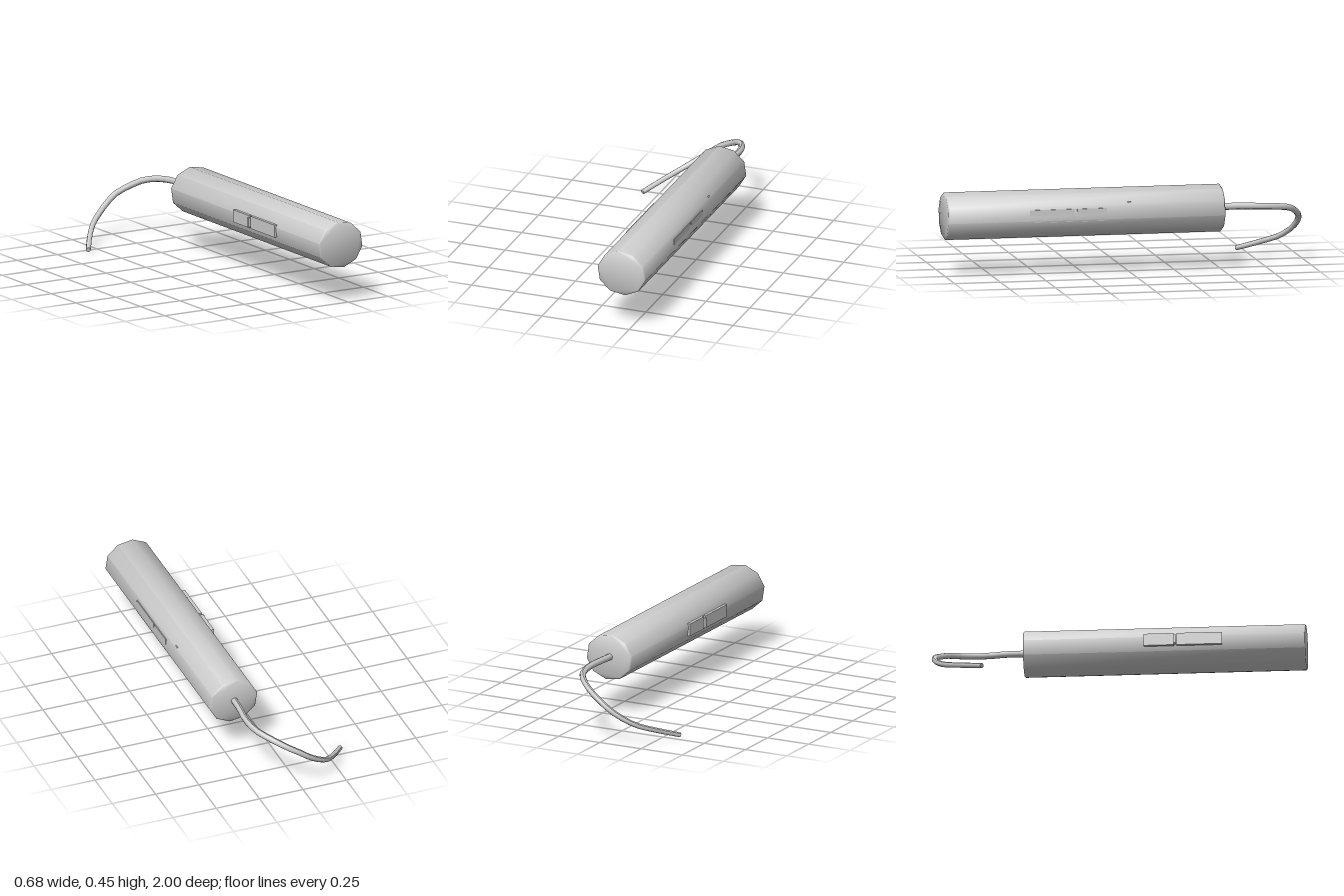
import * as THREE from 'three';
import { toCreasedNormals } from 'three/addons/utils/BufferGeometryUtils.js';

const material = new THREE.MeshStandardMaterial({ color: 0xcccccc });

function addMesh(parent, name, geometry) {
  const mesh = new THREE.Mesh(geometry, material);
  mesh.name = name;
  parent.add(mesh);
  return mesh;
}

// Box given by its minimum and maximum corners
function addBox(parent, name, min, max) {
  const size = max.map((v, i) => v - min[i]);
  const mesh = addMesh(parent, name, new THREE.BoxGeometry(...size));
  mesh.position.set(...max.map((v, i) => (v + min[i]) / 2));
}

// Ten-sided barrel with finely bevelled ends
function barrel() {
  const section = [
    [0.187, 0.449], [0.108, 0.414], [0.068, 0.345], [0.08, 0.265], [0.14, 0.211],
    [0.225, 0.197], [0.302, 0.232], [0.342, 0.3], [0.33, 0.38], [0.27, 0.435],
  ].map(([x, y]) => new THREE.Vector2(x, y));
  const bevel = 0.006;
  const geometry = new THREE.ExtrudeGeometry(new THREE.Shape(section), {
    depth: 1.514 - 2 * bevel, steps: 1,
    bevelEnabled: true, bevelThickness: bevel, bevelSize: bevel,
    bevelOffset: -bevel, bevelSegments: 1,
  });
  geometry.translate(0, 0, -0.514 + bevel);
  return toCreasedNormals(geometry, 0.9);
}

// Curved tail, tapering towards its free end
const TAIL_STEPS = 22, TAIL_SIDES = 8;
function tail() {
  const curve = new THREE.CatmullRomCurve3([
    [0.2, 0.325, -0.48], [0.205, 0.328, -0.6], [0.214, 0.325, -0.72],
    [0.194, 0.317, -0.83], [0.142, 0.3, -0.91], [0.075, 0.264, -0.957],
    [0.01, 0.228, -0.98], [-0.06, 0.175, -0.973], [-0.165, 0.105, -0.918],
    [-0.245, 0.062, -0.828], [-0.33, 0.016, -0.708],
  ].map((p) => new THREE.Vector3(...p)));
  const geometry = new THREE.TubeGeometry(curve, TAIL_STEPS, 0.019, TAIL_SIDES);
  const position = geometry.attributes.position;
  const vertex = new THREE.Vector3();
  for (let i = 0; i < position.count; i++) {
    const t = Math.floor(i / (TAIL_SIDES + 1)) / TAIL_STEPS;
    const centre = curve.getPointAt(t);
    vertex.fromBufferAttribute(position, i).sub(centre);
    vertex.multiplyScalar(1 - 0.28 * t).add(centre);
    position.setXYZ(i, vertex.x, vertex.y, vertex.z);
  }
  geometry.computeVertexNormals();
  return { geometry, curve };
}

export function createModel() {
  const model = new THREE.Group();
  model.name = 'tailedCylinder';
  addMesh(model, 'barrel', barrel());

  // Tail and its flat end
  const { geometry, curve } = tail();
  addMesh(model, 'tail', geometry);
  const tip = addMesh(model, 'tailTip', new THREE.CircleGeometry(0.0137, TAIL_SIDES));
  tip.position.copy(curve.getPointAt(1));
  tip.lookAt(tip.position.clone().add(curve.getTangentAt(1)));

  // Side panels that pass through the barrel and stand proud of both flanks
  addBox(model, 'rearPanel', [0.06, 0.292, 0.135], [0.338, 0.36, 0.296]);
  addBox(model, 'frontPanel', [0.06, 0.292, 0.31], [0.338, 0.36, 0.555]);

  // Thin slider tab between the panels
  addBox(model, 'sliderTab', [0.05, 0.298, 0.295], [0.2, 0.35, 0.306]);

  // Small stud on the other flank
  addBox(model, 'stud', [0.3, 0.378, 0], [0.328, 0.389, 0.018]);
  return model;
}
